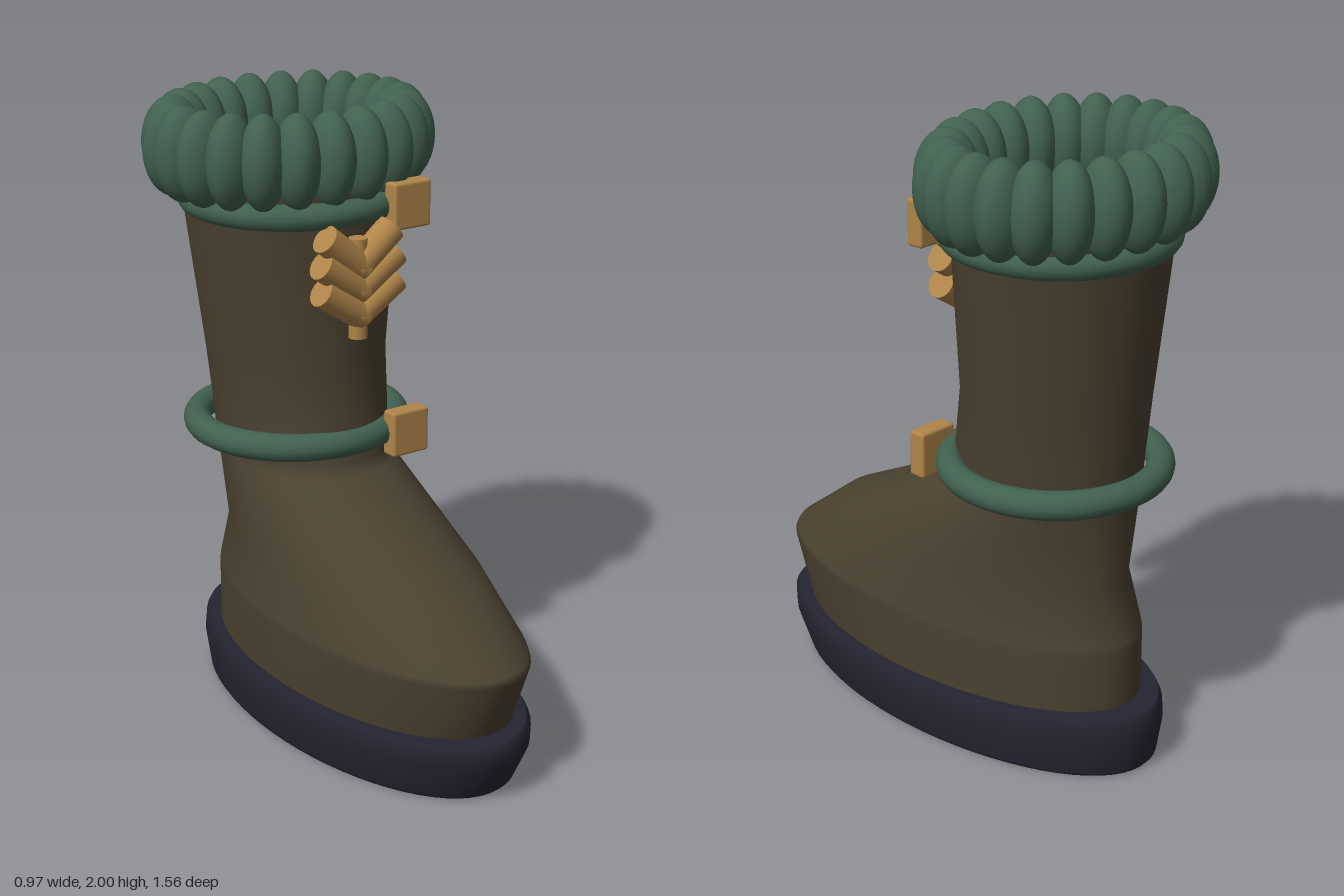
import * as THREE from 'three';
import { RoundedBoxGeometry } from 'three/addons/geometries/RoundedBoxGeometry.js';

function mat(name, color, side = THREE.FrontSide) {
  const m = new THREE.MeshStandardMaterial({ color, side });
  m.name = name;
  return m;
}

// Skin over elliptical sections [y, zFront, zBack, halfWidth]
function loft(sections, n = 64) {
  const pos = [], idx = [];
  for (const [y, zf, zb, hw] of sections) {
    for (let i = 0; i < n; i++) {
      const a = (i / n) * Math.PI * 2;
      pos.push(hw * Math.cos(a), y, (zf + zb) / 2 + ((zf - zb) / 2) * Math.sin(a));
    }
  }
  for (let s = 0; s < sections.length - 1; s++) {
    for (let i = 0; i < n; i++) {
      const j = (i + 1) % n, a = s * n, b = a + n;
      idx.push(a + i, b + i, a + j, a + j, b + i, b + j);
    }
  }
  const g = new THREE.BufferGeometry();
  g.setAttribute('position', new THREE.Float32BufferAttribute(pos, 3));
  g.setIndex(idx);
  g.computeVertexNormals();
  return g;
}

// Flat elliptical cap for one section
function cap([y, zf, zb, hw], up) {
  const g = new THREE.CircleGeometry(1, 64);
  g.rotateX(up ? -Math.PI / 2 : Math.PI / 2);
  g.scale(hw, 1, (zf - zb) / 2);
  g.translate(0, y, (zf + zb) / 2);
  return g;
}

export function createModel() {
  const root = new THREE.Group();
  root.name = 'boot';
  const leather = mat('brown leather', 0x4a412f, THREE.DoubleSide);
  const rubber = mat('dark rubber', 0x252532);
  const green = mat('green knit', 0x41614f);
  const tan = mat('tan trim', 0xb0854a);

  const add = (name, geo, material, parent = root) => {
    const m = new THREE.Mesh(geo, material);
    m.name = name;
    parent.add(m);
    return m;
  };

  // Sole
  const sole = new THREE.Group();
  sole.name = 'sole';
  root.add(sole);
  const soleRows = [
    [0, 0.7, -0.72, 0.328], [0.015, 0.717, -0.733, 0.338], [0.13, 0.775, -0.75, 0.36],
    [0.185, 0.782, -0.747, 0.353], [0.205, 0.765, -0.735, 0.343],
  ];
  add('soleSide', loft(soleRows), rubber, sole);
  add('soleBottom', cap(soleRows[0], false), rubber, sole);
  add('soleTop', cap(soleRows[4], true), rubber, sole);

  // Foot and shaft, open at the top
  add('upper', loft([
    [0.2, 0.7, -0.66, 0.327], [0.4, 0.778, -0.66, 0.335], [0.42, 0.765, -0.657, 0.333],
    [0.59, 0.54, -0.597, 0.302], [0.84, 0.03, -0.617, 0.266], [0.87, 0, -0.62, 0.266],
    [1.0, -0.02, -0.628, 0.275], [1.18, -0.05, -0.64, 0.29], [1.64, -0.05, -0.675, 0.35],
    [1.74, -0.05, -0.68, 0.355],
  ]), leather);

  // Ankle strap and cuff band
  const ring = (name, y, z, rx, rz, tube) => {
    const g = new THREE.TorusGeometry(1, 0.13, 16, 64);
    const p = g.attributes.position;
    const nrm = g.attributes.normal;
    for (let i = 0; i < p.count; i++) {
      const a = Math.atan2(p.getY(i), p.getX(i));
      const d = (Math.hypot(p.getX(i), p.getY(i)) - 1) / 0.13;
      const h = p.getZ(i) / 0.13;
      p.setXYZ(i, (rx + tube * d) * Math.cos(a), (rz + tube * d) * Math.sin(a), h * tube);
      nrm.setXYZ(i, d * Math.cos(a), d * Math.sin(a), h);
    }
    g.rotateX(-Math.PI / 2);
    add(name, g, green).position.set(0, y, z);
  };
  ring('ankleStrap', 0.935, -0.345, 0.326, 0.32, 0.045);
  ring('cuffBand', 1.68, -0.35, 0.33, 0.32, 0.042);

  // Padded cuff made of a ring of lobes
  const cuff = new THREE.Group();
  cuff.name = 'cuff';
  root.add(cuff);
  const lobes = 22;
  const lobeGeo = new THREE.SphereGeometry(1, 24, 18);
  for (let i = 0; i < lobes; i++) {
    const a = (i / lobes) * Math.PI * 2;
    const m = add('cuffLobe', lobeGeo, green, cuff);
    m.position.set(0.385 * Math.cos(a), 1.85, -0.37 + 0.313 * Math.sin(a));
    m.rotation.y = -a;
    m.scale.set(0.1, 0.15, 0.073);
  }

  // Buckles
  for (const [name, y] of [['ankleBuckle', 0.935], ['cuffBuckle', 1.685]]) {
    add(name, new RoundedBoxGeometry(0.14, 0.15, 0.06, 2, 0.01), tan).position.set(0.2, y, -0.01);
  }

  // Chevron lacing over a centre cord
  const lacing = new THREE.Group();
  lacing.name = 'lacing';
  root.add(lacing);
  for (const [yIn, xOut, yOut] of [[1.52, 0.125, 1.625], [1.45, 0.14, 1.545], [1.37, 0.14, 1.46]]) {
    for (const s of [-1, 1]) {
      const a = new THREE.Vector3(-s * 0.015, yIn - 0.01, 0.007);
      const b = new THREE.Vector3(s * xOut, yOut, 0.007);
      const dir = b.clone().sub(a);
      const m = add('lace', new THREE.CylinderGeometry(0.047, 0.047, dir.length(), 20), tan, lacing);
      m.position.copy(a).add(b).multiplyScalar(0.5);
      m.quaternion.setFromUnitVectors(new THREE.Vector3(0, 1, 0), dir.normalize());
    }
  }
  add('centreCord', new THREE.CylinderGeometry(0.03, 0.03, 0.32, 16), tan, lacing).position.set(0, 1.45, 0.005);

  return root;
}
